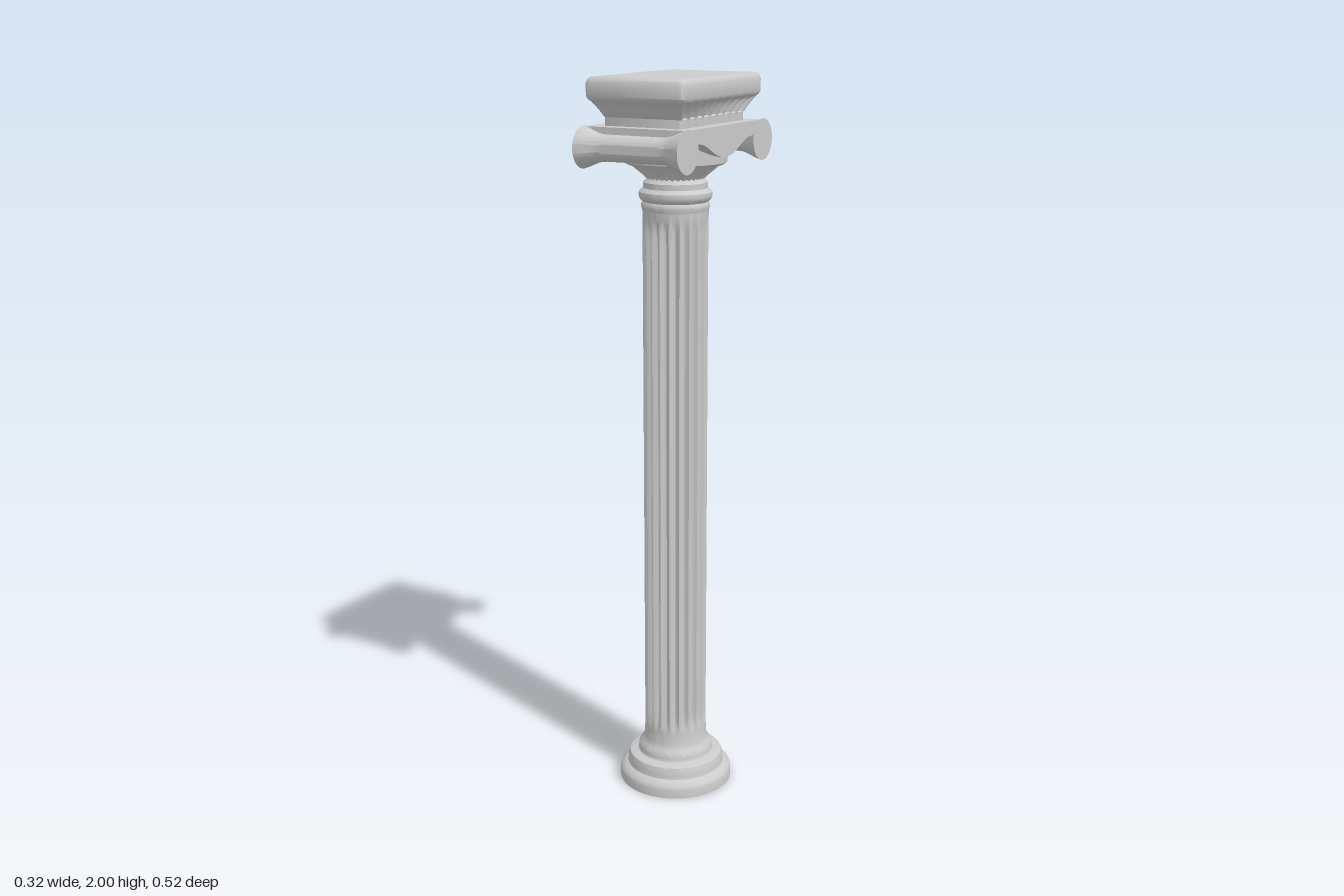
import * as THREE from 'three';
import { toCreasedNormals } from 'three/addons/utils/BufferGeometryUtils.js';

const material = new THREE.MeshStandardMaterial({ color: 0xcccccc });

function add(group, name, geometry, crease = 0.6) {
  const mesh = new THREE.Mesh(toCreasedNormals(geometry, crease), material);
  mesh.name = name;
  group.add(mesh);
  return mesh;
}

// Skin closed rings of [x, y, z], running counter-clockwise seen from above, bottom to top.
function loft(rings) {
  const n = rings[0].length;
  const pos = rings.flat(2);
  const idx = [];
  for (let r = 0; r < rings.length - 1; r++) {
    for (let i = 0; i < n; i++) {
      const a = r * n + i, b = r * n + (i + 1) % n;
      idx.push(a, b, b + n, a, b + n, a + n);
    }
  }
  const last = (rings.length - 1) * n;
  const base = pos.length / 3;
  pos.push(0, rings[0][0][1], 0, 0, rings[rings.length - 1][0][1], 0);
  for (let i = 0; i < n; i++) {
    const j = (i + 1) % n;
    idx.push(base, j, i, base + 1, last + i, last + j);
  }
  const g = new THREE.BufferGeometry();
  g.setAttribute('position', new THREE.Float32BufferAttribute(pos, 3));
  g.setIndex(idx);
  return g;
}

// Round ring whose radius is cut by hollow flutes.
function flutedRing(y, radius, depth, flutes, steps = 8) {
  const ring = [];
  for (let i = 0; i < flutes * steps; i++) {
    const t = (i % steps) / steps;
    const cut = t > 0.2 ? Math.sin(Math.PI * (t - 0.2) / 0.8) : 0;
    const r = radius - depth * cut;
    const a = i / (flutes * steps) * Math.PI * 2;
    ring.push([r * Math.sin(a), y, r * Math.cos(a)]);
  }
  return ring;
}

// Rounded rectangle ring, with scallops of the given depth on the two long sides.
function slabRing(y, hx, hz, corner, depth = 0) {
  const ring = [], side = 72, arc = 5, scallops = 9;
  for (const s of [1, -1]) {
    for (let i = 0; i <= side; i++) {
      const t = i / side;
      const cut = depth * Math.pow(Math.sin(Math.PI * t * scallops), 2);
      ring.push([s * (hx - cut), y, s * (hz - corner) * (1 - 2 * t)]);
    }
    for (const [cx, start] of [[hx - corner, 0], [corner - hx, Math.PI / 2]]) {
      for (let i = 1; i <= arc; i++) {
        const a = start + i / arc * Math.PI / 2;
        if (start && i === arc) continue;
        ring.push([s * (cx + corner * Math.cos(a)), y, -s * (hz - corner + corner * Math.sin(a))]);
      }
    }
  }
  return ring;
}

function lathe(points) {
  return new THREE.LatheGeometry(points.map(([r, y]) => new THREE.Vector2(r, y)), 64);
}

export function createModel() {
  const column = new THREE.Group();
  column.name = 'column';

  // Stepped round foot
  add(column, 'base', lathe([
    [0, 0], [0.16, 0], [0.16, 0.025], [0.157, 0.034], [0.147, 0.042], [0.138, 0.047],
    [0.136, 0.055], [0.136, 0.07], [0.132, 0.079], [0.122, 0.083], [0.108, 0.086],
    [0.105, 0.092], [0.106, 0.1], [0.103, 0.108], [0.095, 0.115], [0.09, 0.13], [0.088, 0.16], [0, 0.16],
  ]));

  // Shaft with flutes that fade out at both ends
  const shaftSteps = [
    [0.14, 0], [0.165, 0], [0.18, 0.5], [0.2, 0.85], [0.23, 1],
    [1.57, 1], [1.6, 0.85], [1.62, 0.5], [1.635, 0], [1.67, 0],
  ];
  add(column, 'shaft', loft(shaftSteps.map(([y, k]) => flutedRing(y, 0.088, 0.011 * k, 20))));

  // Rolled rings at the neck
  add(column, 'neck', lathe([
    [0, 1.65], [0.088, 1.65], [0.091, 1.66], [0.091, 1.668], [0.087, 1.674], [0.094, 1.68],
    [0.098, 1.69], [0.097, 1.7], [0.09, 1.707], [0.086, 1.71], [0.086, 1.725],
    [0.077, 1.732], [0.073, 1.74], [0, 1.74],
  ]));

  // Flaring, fluted bell under the scrolls
  const bell = [[1.72, 0.073, 0], [1.733, 0.075, 0.004], [1.745, 0.088, 0.007],
    [1.758, 0.104, 0.008], [1.77, 0.118, 0.007], [1.776, 0.122, 0]];
  add(column, 'bell', loft(bell.map(([y, r, d]) => flutedRing(y, r, d, 32, 6))));
  add(column, 'bellRim', lathe([
    [0, 1.772], [0.128, 1.772], [0.136, 1.778], [0.137, 1.79], [0.137, 1.85], [0, 1.85],
  ]));

  // Saddle joining the scrolls, sagging in the middle
  const sag = new THREE.Shape();
  sag.moveTo(-0.207, 1.877);
  sag.lineTo(-0.207, 1.845);
  sag.lineTo(-0.155, 1.84);
  sag.bezierCurveTo(-0.09, 1.84, -0.07, 1.798, 0, 1.796);
  sag.bezierCurveTo(0.07, 1.798, 0.09, 1.84, 0.155, 1.84);
  sag.lineTo(0.207, 1.845);
  sag.lineTo(0.207, 1.877);
  const saddle = new THREE.ExtrudeGeometry(sag, { depth: 0.298, bevelEnabled: false, curveSegments: 16 });
  saddle.translate(0, 0, -0.149).rotateY(Math.PI / 2);
  add(column, 'saddle', saddle);

  // Scroll rolls, slim in the middle and flared at the ends
  const half = [[0.08, 0.034], [0.095, 0.035], [0.11, 0.039], [0.125, 0.045], [0.14, 0.051], [0.152, 0.055]];
  const roll = [[0, -0.152], ...half.map(([x, r]) => [r, -x]).reverse(),
    ...half.map(([x, r]) => [r, x]), [0, 0.152]];
  for (const side of [1, -1]) {
    const mesh = add(column, side > 0 ? 'frontScroll' : 'backScroll', lathe(roll));
    mesh.rotation.z = Math.PI / 2;
    mesh.position.set(0, 1.825, side * 0.206);
  }

  // Top slab: plain band, scalloped flare and rounded plate
  add(column, 'slab', loft([
    slabRing(1.865, 0.112, 0.172, 0.008),
    slabRing(1.899, 0.112, 0.172, 0.008),
    slabRing(1.902, 0.115, 0.176, 0.008, 0.012),
    slabRing(1.915, 0.121, 0.184, 0.01, 0.014),
    slabRing(1.93, 0.13, 0.196, 0.012, 0.012),
    slabRing(1.94, 0.136, 0.206, 0.014, 0.004),
    slabRing(1.944, 0.14, 0.213, 0.016),
    slabRing(1.952, 0.144, 0.217, 0.016),
    slabRing(1.984, 0.144, 0.217, 0.016),
    slabRing(1.994, 0.141, 0.214, 0.015),
    slabRing(2.0, 0.134, 0.207, 0.012),
  ]));

  return column;
}
